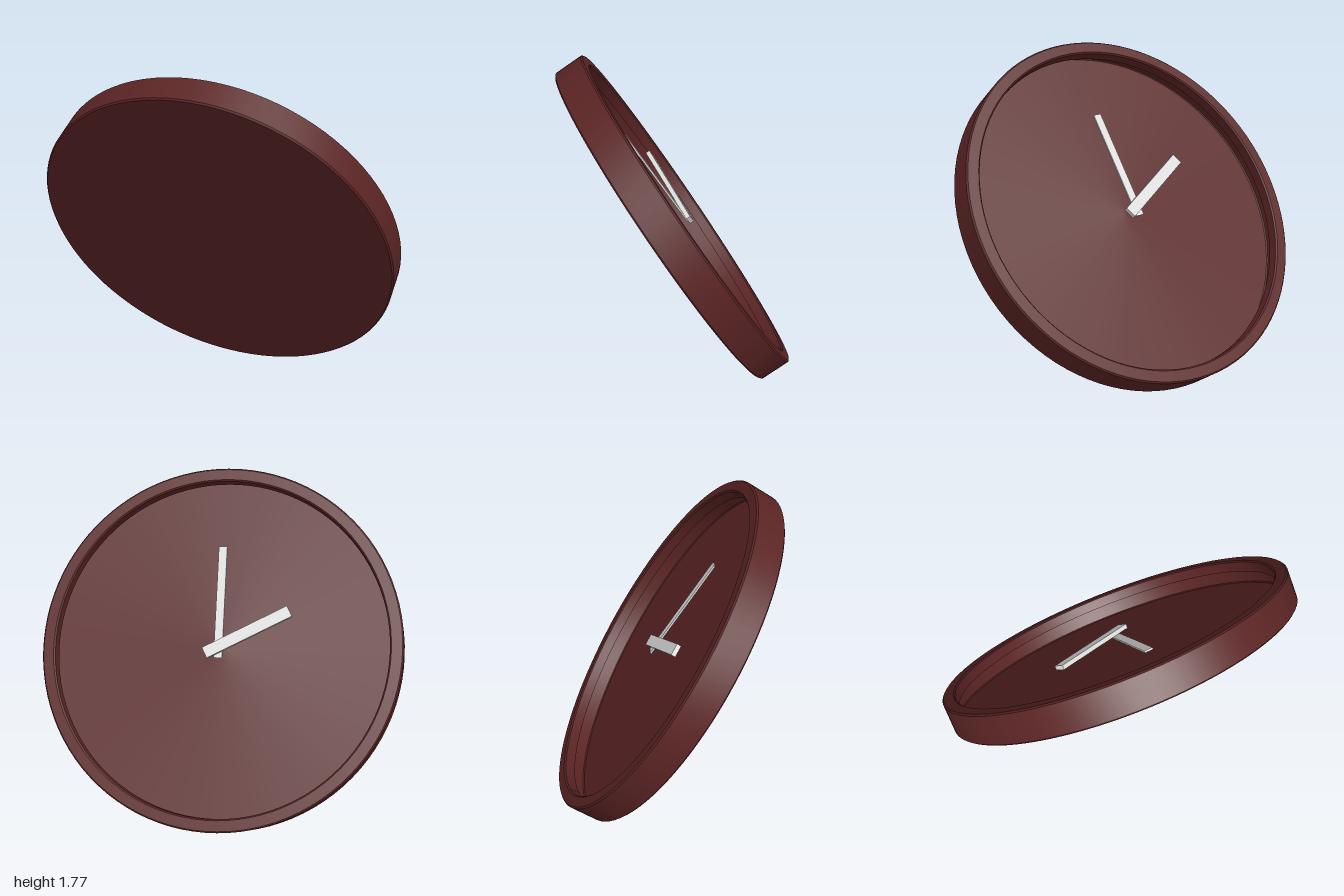
import * as THREE from 'three';
import { toCreasedNormals } from 'three/addons/utils/BufferGeometryUtils.js';

export function createModel() {
  const maroon = new THREE.MeshStandardMaterial({ color: 0x5b2424 });
  maroon.name = 'maroon';
  const paleGrey = new THREE.MeshStandardMaterial({ color: 0xdedfde });
  paleGrey.name = 'paleGrey';

  const clock = new THREE.Group();
  clock.name = 'wallClock';

  const add = (name, geometry, material) => {
    const mesh = new THREE.Mesh(geometry, material);
    mesh.name = name;
    clock.add(mesh);
    return mesh;
  };

  // Round case: flat back, thin side wall, and a front lip that overhangs the recess
  const caseProfile = [
    [0, -0.087], [0.992, -0.087], [1, -0.079], [1, 0.079], [0.992, 0.087],
    [0.935, 0.087], [0.927, 0.079], [0.927, 0.02], [0.978, 0.02],
    [0.978, -0.064], [0.972, -0.07],
  ].map(([r, y]) => new THREE.Vector2(r, y));
  add('case', toCreasedNormals(new THREE.LatheGeometry(caseProfile, 96), Math.PI / 6), maroon);

  // Dial at the bottom of the recess
  const dial = new THREE.CircleGeometry(0.972, 96).rotateX(-Math.PI / 2);
  dial.translate(0, -0.07, 0);
  add('dial', dial, maroon);

  // Hands: bars that turn about the centre, with a short tail
  const addHand = (name, width, thickness, tail, reach, top, angle) => {
    const bar = new THREE.BoxGeometry(width, thickness, reach + tail);
    bar.translate(0, top - thickness / 2, (reach - tail) / 2);
    add(name, bar, paleGrey).rotation.y = angle;
  };
  addHand('minuteHand', 0.047, 0.01, 0.06, 0.562, 0.049, 0.082);
  addHand('hourHand', 0.064, 0.025, 0.08, 0.436, 0.074, -1.012);

  // Lean the clock so the dial faces backward and up
  clock.rotation.x = -0.9995;
  clock.position.y = 0.886;

  const model = new THREE.Group();
  model.name = 'tiltedClock';
  model.add(clock);
  return model;
}
